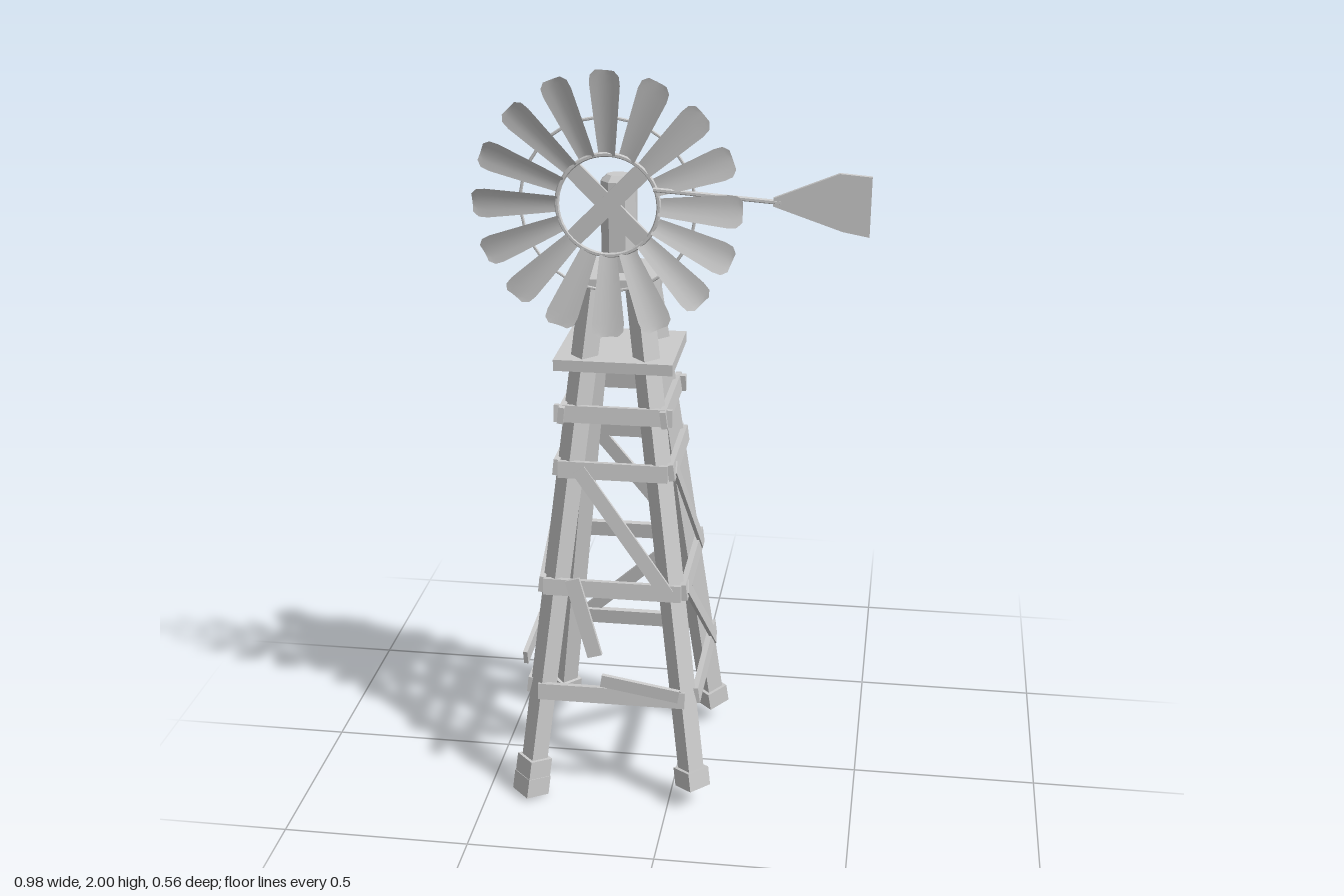
import * as THREE from 'three';

const CX = -0.155; // tower axis
const V = (x, y, z) => new THREE.Vector3(x, y, z);
const mat = new THREE.MeshStandardMaterial({ color: 0xcccccc, flatShading: true });
const thinMat = new THREE.MeshStandardMaterial({ color: 0xcccccc, side: THREE.DoubleSide });

function add(parent, name, geometry, material = mat) {
  const mesh = new THREE.Mesh(geometry, material);
  mesh.name = name;
  parent.add(mesh);
  return mesh;
}

// Straight timber from a to b; its thickness faces the given normal
function timber(parent, name, a, b, width, thick, normal) {
  const along = b.clone().sub(a);
  const length = along.length();
  along.normalize();
  const side = normal.clone().cross(along).normalize();
  const out = along.clone().cross(side);
  const mesh = add(parent, name, new THREE.BoxGeometry(length, width, thick));
  mesh.quaternion.setFromRotationMatrix(new THREE.Matrix4().makeBasis(along, side, out));
  mesh.position.copy(a).add(b).multiplyScalar(0.5);
  return mesh;
}

// Upright block with cut corners, base at y = 0
function cutBlock(w, d, h, cut, bevel = 0) {
  const x = w / 2 - bevel, z = d / 2 - bevel;
  const pts = [[-x + cut, -z], [x - cut, -z], [x, -z + cut], [x, z - cut],
    [x - cut, z], [-x + cut, z], [-x, z - cut], [-x, -z + cut]];
  const shape = new THREE.Shape(pts.map(p => new THREE.Vector2(...p)));
  const geo = new THREE.ExtrudeGeometry(shape, {
    depth: h - bevel, bevelEnabled: bevel > 0, bevelSize: bevel, bevelThickness: bevel, bevelSegments: 1
  });
  return geo.rotateX(-Math.PI / 2);
}

// Distance of the leg centre from the axis at height y, in x and z alike
const spread = y => 0.23 - 0.12 * (y - 0.05);

function buildTower() {
  const tower = new THREE.Group();
  tower.name = 'tower';
  tower.position.x = CX;

  // Legs and feet, turned to face the diagonals
  for (const sx of [-1, 1]) for (const sz of [-1, 1]) {
    const at = y => V(sx * (spread(y) - 0.006), y, sz * spread(y));
    const diagonal = V(sx, 0, sz).normalize();
    timber(tower, 'leg', at(0.08), at(1.435), 0.05, 0.05, diagonal);
    const tall = sx < 0 && sz > 0;
    timber(tower, 'foot', at(tall ? 0.006 : 0.06), at(0.112), 0.068, 0.068, diagonal);
    if (tall) timber(tower, 'footBlock', at(0.006), at(0.06), 0.071, 0.071, diagonal);
  }

  // Four sides: rails, and diagonal braces as [u, y] pairs, u running left to right from outside
  const rails = [[0.322, 0.2], [0.622, 0.185], [0.947, 0.145], [1.097, 0.155]];
  const braces = [
    [[[-0.09, 0.95], [0.15, 0.62]]],                                        // front
    [[[-0.11, 0.95], [0.14, 0.62]], [[-0.16, 0.63], [0.16, 0.31]]],         // right
    [[[-0.14, 0.62], [0.11, 0.95]], [[-0.16, 0.62], [0.16, 0.32]]],         // back
    [[[-0.11, 0.95], [0.14, 0.62]]]                                         // left
  ];
  braces.forEach((list, i) => {
    const face = new THREE.Group();
    face.name = 'towerSide';
    face.rotation.y = i * Math.PI / 2;
    tower.add(face);
    const normal = V(0, 0.12, 1).normalize();
    const onFace = (u, y, lift) => V(u, y, spread(y) + lift);
    for (const [y, half] of rails) {
      timber(face, 'rail', onFace(-half, y, 0.03), onFace(half, y, 0.03), 0.045, 0.016, normal);
    }
    for (const [a, b] of list) {
      timber(face, 'brace', onFace(...a, 0.037), onFace(...b, 0.037), 0.038, 0.01, normal);
    }
  });

  // Broken boards hanging loose
  timber(tower, 'looseBoard', V(-0.105, 0.65, 0.2), V(-0.042, 0.44, 0.228), 0.04, 0.012, V(0, 0, 1));
  timber(tower, 'looseBoard', V(-0.025, 0.372, 0.236), V(0.185, 0.338, 0.238), 0.035, 0.012, V(0, 0, 1));
  timber(tower, 'looseBoard', V(-0.2, 0.525, -0.15), V(-0.228, 0.43, 0.245), 0.04, 0.012, V(-1, 0, 0));

  // Platform, cap and post
  add(tower, 'platform', new THREE.BoxGeometry(0.31, 0.03, 0.27)).position.y = 1.228;
  add(tower, 'cap', cutBlock(0.23, 0.2, 0.024, 0.03)).position.y = 1.428;
  add(tower, 'post', cutBlock(0.09, 0.075, 0.25, 0.015, 0.015)).position.y = 1.452;
  return tower;
}

// One blade along +y: widening, slightly cupped, pitched and rounded at the tip
function bladeGeometry() {
  const rows = [[0.125, 0.021], [0.18, 0.027], [0.25, 0.034], [0.3, 0.039], [0.322, 0.037], [0.335, 0.024]];
  const steps = 4, pos = [], index = [];
  rows.forEach(([r, half], j) => {
    for (let i = 0; i <= steps; i++) {
      const t = i / steps * 2 - 1;
      const z = (r - 0.125) * 0.08 + 0.007 * t * t * half / 0.04 + t * half * 0.25;
      pos.push(t * half, r, z);
      if (j && i) {
        const b = j * (steps + 1) + i, a = b - steps - 1;
        index.push(a - 1, a, b, a - 1, b, b - 1);
      }
    }
  });
  const geo = new THREE.BufferGeometry();
  geo.setAttribute('position', new THREE.Float32BufferAttribute(pos, 3));
  geo.setIndex(index);
  geo.computeVertexNormals();
  return geo;
}

function buildWheel() {
  const wheel = new THREE.Group();
  wheel.name = 'wheel';
  wheel.position.set(CX, 1.665, 0.168);

  const blade = bladeGeometry();
  for (let i = 0; i < 16; i++) {
    add(wheel, 'blade', blade, thinMat).rotation.z = i * Math.PI / 8;
  }
  // Rings that carry the blades
  add(wheel, 'innerRing', new THREE.TorusGeometry(0.127, 0.006, 6, 48));
  add(wheel, 'outerRing', new THREE.TorusGeometry(0.218, 0.004, 6, 48)).position.z = 0.001;
  // Crossed spokes
  for (const s of [-1, 1]) {
    const end = V(0.088, 0.088 * s, -0.004);
    timber(wheel, 'spoke', V(-0.088, -0.088 * s, -0.004), end, 0.045, s > 0 ? 0.012 : 0.01, V(0, 0, 1));
  }
  // Drive shaft back to the post
  const shaft = add(wheel, 'shaft', new THREE.CylinderGeometry(0.013, 0.013, 0.15, 8));
  shaft.rotation.x = Math.PI / 2;
  shaft.position.z = -0.08;
  return wheel;
}

function buildTail() {
  const tail = new THREE.Group();
  tail.name = 'tail';

  // Rod from the wheel to the vane
  const rod = new THREE.LineCurve3(V(-0.04, 1.712, 0.182), V(0.27, 1.682, 0.149));
  add(tail, 'tailRod', new THREE.TubeGeometry(rod, 1, 0.006, 6));

  // Flared vane with a slightly bowed outer edge
  const outline = [[0, 0.01], [0, -0.01], [0.17, -0.07], [0.236, -0.083], [0.238, 0.067], [0.16, 0.074]];
  const shape = new THREE.Shape(outline.map(p => new THREE.Vector2(...p)));
  const vane = add(tail, 'tailVane', new THREE.ExtrudeGeometry(shape, { depth: 0.012, bevelEnabled: false }));
  vane.position.set(0.25, 1.683, 0.143);
  vane.rotation.y = 0.05;
  return tail;
}

export function createModel() {
  const model = new THREE.Group();
  model.name = 'windmill';
  model.add(buildTower(), buildWheel(), buildTail());
  return model;
}
